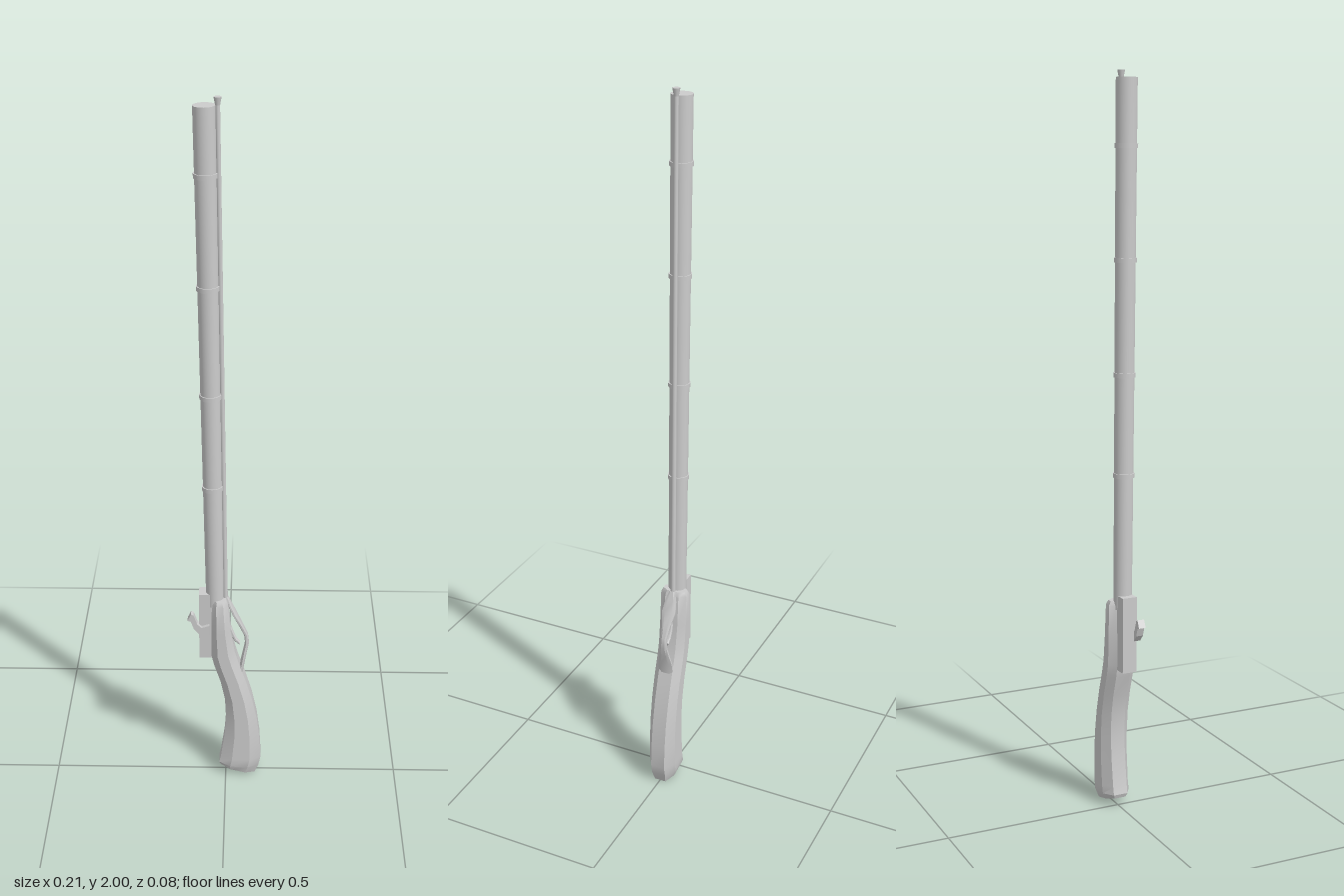
import * as THREE from 'three';
import { toCreasedNormals } from 'three/addons/utils/BufferGeometryUtils.js';

const mat = new THREE.MeshStandardMaterial({ color: 0xcccccc });

// Chamfered loft, top to bottom. Each section: [leftX, leftY, rightX, rightY, halfDepth]
function loft(sections) {
  const half = [[0, 0.52], [0.28, 1], [0.72, 1], [1, 0.52]];
  const ring = [...half, ...half.map(([t, z]) => [t, -z]).reverse()];
  const n = ring.length, pos = [], idx = [];
  for (const [lx, ly, rx, ry, d] of sections)
    for (const [t, z] of ring) pos.push(lx + (rx - lx) * t, ly + (ry - ly) * t, z * d);
  for (let i = 0; i < sections.length - 1; i++)
    for (let j = 0; j < n; j++) {
      const a = i * n + j, b = i * n + (j + 1) % n;
      idx.push(a, a + n, b, b, a + n, b + n);
    }
  const last = (sections.length - 1) * n;
  for (let j = 1; j < n - 1; j++) idx.push(0, j, j + 1, last, last + j + 1, last + j);
  const g = new THREE.BufferGeometry();
  g.setAttribute('position', new THREE.Float32BufferAttribute(pos, 3));
  g.setIndex(idx);
  return toCreasedNormals(g, 0.5);
}

// Tapered cylinder between two [x, y] points in the z = 0 plane
function rod(bottom, top, rBottom, rTop, sides = 32) {
  const a = new THREE.Vector3(...bottom, 0), b = new THREE.Vector3(...top, 0);
  const dir = b.clone().sub(a);
  const g = new THREE.CylinderGeometry(rTop, rBottom, dir.length(), sides);
  const q = new THREE.Quaternion().setFromUnitVectors(new THREE.Vector3(0, 1, 0), dir.normalize());
  g.applyQuaternion(q);
  const mid = a.add(b).multiplyScalar(0.5);
  return g.translate(mid.x, mid.y, 0);
}

export function createModel() {
  const group = new THREE.Group();
  const add = (name, geometry) => {
    const mesh = new THREE.Mesh(geometry, mat);
    mesh.name = name;
    group.add(mesh);
  };

  // Barrel leans slightly towards -x at the muzzle
  const barrelX = y => -0.03 - 0.023 * (y - 0.58) / 1.4;
  const barrelR = y => 0.025 + 0.003 * (y - 0.58) / 1.4;
  add('barrel', rod([barrelX(0.58), 0.58], [barrelX(1.98), 1.98], barrelR(0.58), barrelR(1.98)));

  // Bands around the barrel
  [0.95, 1.22, 1.52, 1.81].forEach((y, i) => {
    const r = barrelR(y) + 0.003;
    add('barrelBand' + (i + 1),
      rod([barrelX(y - 0.006), y - 0.006], [barrelX(y + 0.006), y + 0.006], r, r));
  });

  // Ramrod beside the barrel, with a small knob
  add('ramrod', rod([-0.001, 0.57], [-0.02, 1.985], 0.007, 0.006, 16));
  add('ramrodKnob', rod([-0.02, 1.98], [-0.02, 2.0], 0.006, 0.01, 16));

  // Stock with chamfered edges, curving into the butt
  add('stock', loft([
    [-0.034, 0.602, 0.0, 0.602, 0.033],
    [-0.039, 0.59, 0.006, 0.59, 0.039],
    [-0.041, 0.50, 0.014, 0.50, 0.04],
    [-0.041, 0.42, 0.026, 0.43, 0.04],
    [-0.033, 0.385, 0.036, 0.395, 0.04],
    [-0.014, 0.325, 0.056, 0.335, 0.04],
    [-0.002, 0.265, 0.075, 0.27, 0.04],
    [0.001, 0.20, 0.09, 0.20, 0.04],
    [-0.003, 0.14, 0.099, 0.13, 0.04],
    [-0.014, 0.06, 0.103, 0.06, 0.04],
    [-0.019, 0.038, 0.097, 0.03, 0.04],
    [-0.015, 0.027, 0.086, 0.0, 0.032],
  ]));

  // Lock housing behind the barrel
  add('lockHousing', new THREE.BoxGeometry(0.052, 0.21, 0.042).translate(-0.049, 0.515, 0));

  // Cocked hammer on the front side of the lock
  const s = new THREE.Shape();
  [[-0.045, 0.525], [-0.068, 0.517], [-0.08, 0.53], [-0.09, 0.558], [-0.097, 0.562],
    [-0.107, 0.541], [-0.098, 0.538], [-0.09, 0.515], [-0.075, 0.497], [-0.045, 0.493]]
    .forEach(([x, y], i) => (i ? s.lineTo(x, y) : s.moveTo(x, y)));
  s.closePath();
  add('hammer', new THREE.ExtrudeGeometry(s, { depth: 0.02, bevelEnabled: false })
    .translate(0, 0, 0.012));

  // Trigger guard: a strap broad at both ends and slim in the middle
  add('triggerGuard', loft([
    [-0.002, 0.602, 0.007, 0.604, 0.008],
    [0.008, 0.575, 0.017, 0.579, 0.016],
    [0.02, 0.546, 0.03, 0.55, 0.02],
    [0.038, 0.508, 0.048, 0.512, 0.012],
    [0.052, 0.477, 0.063, 0.479, 0.009],
    [0.055, 0.452, 0.066, 0.45, 0.01],
    [0.05, 0.425, 0.06, 0.422, 0.014],
    [0.044, 0.392, 0.054, 0.389, 0.021],
    [0.036, 0.352, 0.048, 0.35, 0.022],
    [0.042, 0.334, 0.05, 0.333, 0.012],
  ]));

  // Trigger
  add('trigger', loft([
    [0.004, 0.505, 0.014, 0.51, 0.007],
    [0.013, 0.48, 0.022, 0.485, 0.007],
    [0.024, 0.457, 0.031, 0.464, 0.006],
    [0.038, 0.444, 0.041, 0.453, 0.005],
  ]));

  return group;
}
